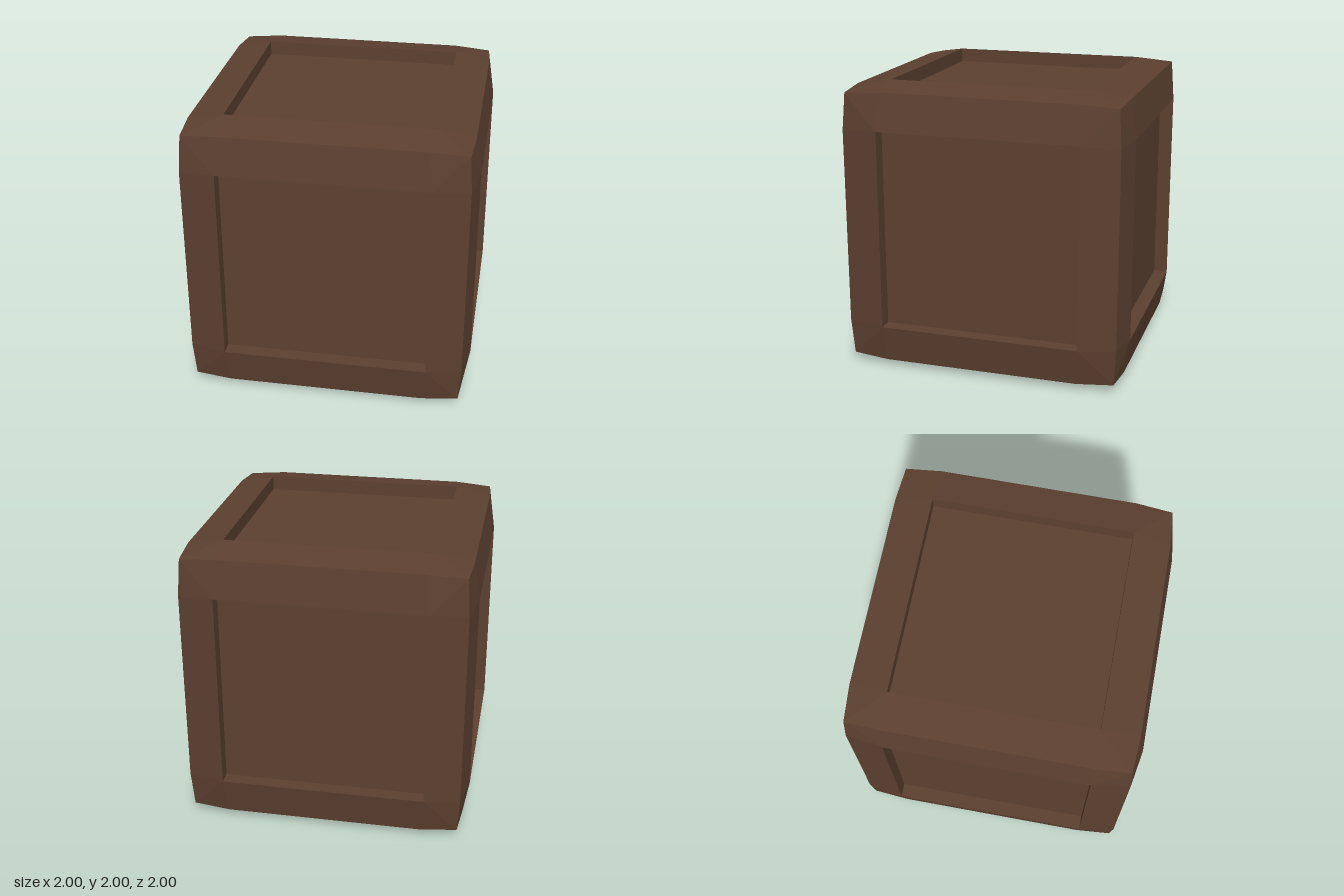
import * as THREE from 'three';

const OPEN = [0.709, 0.698, 0.698]; // half size of the panel opening along x, y, z
const EDGE = 0.957;    // bevelled edge distance from the centre
const BREAK = 0.684;   // where an edge starts to bend towards the corner
const CORNER = 0.94;   // cube corner
const FLOOR = 0.9;     // recessed panel distance

// Flat-shaded geometry from a list of quads (counter-clockwise corners)
function quadGeometry(quads) {
  const pos = [];
  for (const [a, b, c, d] of quads) pos.push(...a, ...b, ...c, ...a, ...c, ...d);
  const g = new THREE.BufferGeometry();
  g.setAttribute('position', new THREE.Float32BufferAttribute(pos, 3));
  g.computeVertexNormals();
  return g;
}

// One side of the crate: bevelled frame, recess walls and sunken panel
function crateSide(axis, sign, material) {
  const u = (axis + 1) % 3, v = (axis + 2) % 3;
  const point = (a, b, depth) => {
    const p = [0, 0, 0];
    p[axis] = sign * depth;
    p[u] = sign * a;
    p[v] = b;
    return p;
  };
  const signs = [[1, 1], [-1, 1], [-1, -1], [1, -1]];
  const rim = signs.map(([a, b]) => point(a * OPEN[u], b * OPEN[v], 1));
  const floor = signs.map(([a, b]) => point(a * OPEN[u], b * OPEN[v], FLOOR));
  const corner = signs.map(([a, b]) => point(a * CORNER, b * CORNER, CORNER));
  const onU = signs.map(([a, b]) => point(a * EDGE, b * BREAK, EDGE));
  const onV = signs.map(([a, b]) => point(a * BREAK, b * EDGE, EDGE));

  const frame = [], walls = [];
  for (let i = 0; i < 4; i++) {
    const j = (i + 1) % 4;
    const along = i % 2 ? onU : onV;
    frame.push([rim[i], along[i], along[j], rim[j]]);
    // corner piece, folded along the diagonal
    const [first, last] = i % 2 ? [onV, onU] : [onU, onV];
    frame.push([rim[i], first[i], corner[i], last[i]]);
    walls.push([rim[i], rim[j], floor[j], floor[i]]);
  }

  const side = new THREE.Group();
  side.name = 'crateSide';
  const add = (name, quads) => {
    const mesh = new THREE.Mesh(quadGeometry(quads), material);
    mesh.name = name;
    side.add(mesh);
  };
  add('frame', frame);
  add('recessWalls', walls);
  add('panel', [floor]);
  return side;
}

export function createModel() {
  const wood = new THREE.MeshStandardMaterial({ color: 0x5c4030 });
  wood.name = 'darkWood';
  const crate = new THREE.Group();
  crate.name = 'crate';
  for (let axis = 0; axis < 3; axis++)
    for (const sign of [1, -1]) crate.add(crateSide(axis, sign, wood));
  crate.position.y = 1;
  const model = new THREE.Group();
  model.name = 'woodenCrate';
  model.add(crate);
  return model;
}
